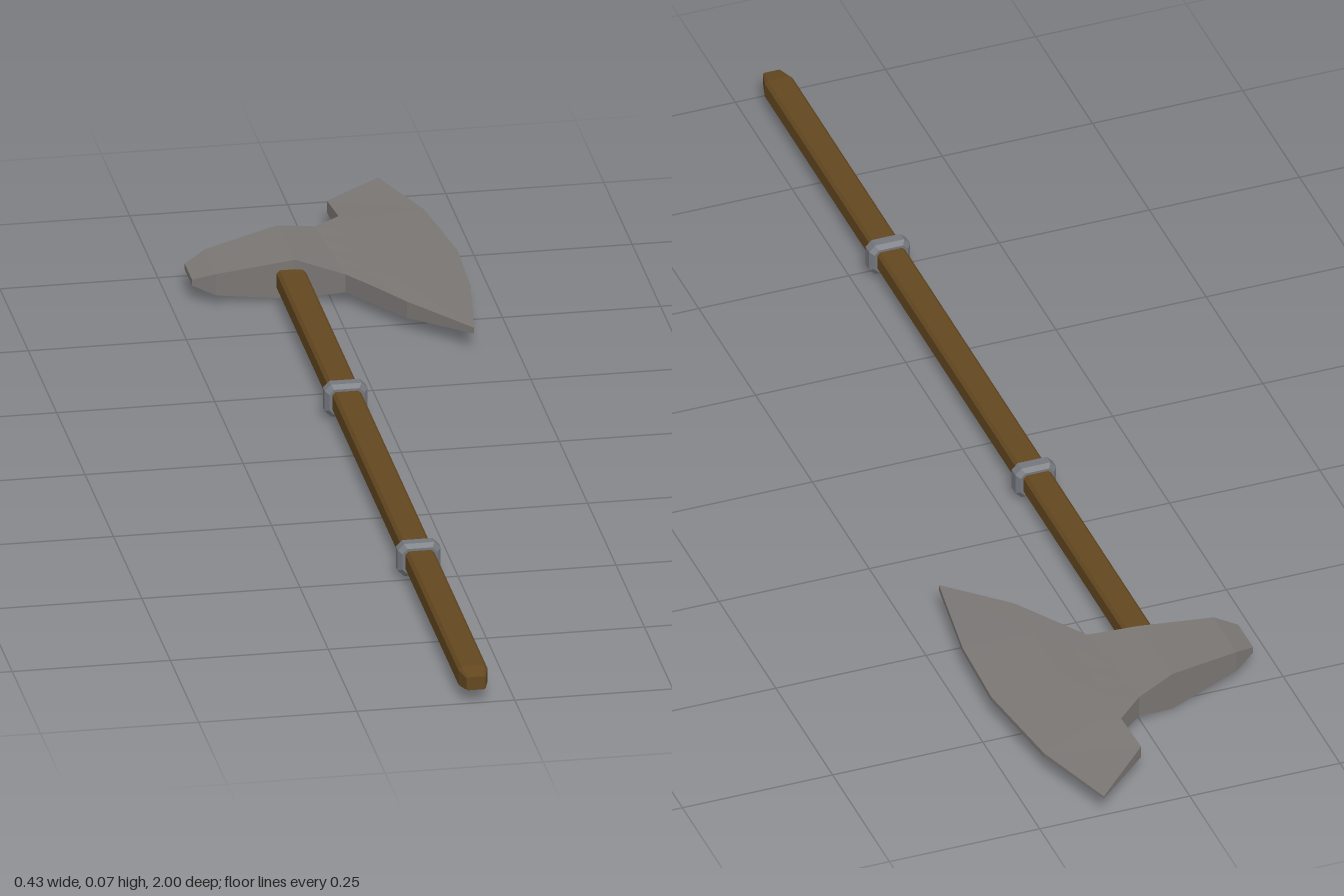
import * as THREE from 'three';

const wood = new THREE.MeshStandardMaterial({ name: 'darkWood', color: 0x644820 });
const steel = new THREE.MeshStandardMaterial({ name: 'steel', color: 0x7a7674 });
const iron = new THREE.MeshStandardMaterial({ name: 'ringIron', color: 0x74777d });

const CENTRE_Y = 0.033;
const SHAFT_X = -0.061;

// Flat-shaded mesh from a list of polygons, each an array of [x, y, z]
function facetMesh(name, polygons, material) {
  const positions = [];
  for (const p of polygons) {
    for (let i = 1; i < p.length - 1; i++) positions.push(...p[0], ...p[i], ...p[i + 1]);
  }
  const geometry = new THREE.BufferGeometry();
  geometry.setAttribute('position', new THREE.Float32BufferAttribute(positions, 3));
  geometry.computeVertexNormals();
  const mesh = new THREE.Mesh(geometry, material);
  mesh.name = name;
  return mesh;
}

// Rectangle with cut corners, counter-clockwise seen from +z
function octagon([z, w, h, cut]) {
  return [
    [w, -h + cut], [w, h - cut], [w - cut, h], [-w + cut, h],
    [-w, h - cut], [-w, -h + cut], [-w + cut, -h], [w - cut, -h],
  ].map(([x, y]) => [SHAFT_X + x, CENTRE_Y + y, z]);
}

// Capped solid through octagons listed from +z to -z
function loft(name, sections, material) {
  const loops = sections.map(octagon);
  const faces = [loops[0], [...loops[loops.length - 1]].reverse()];
  for (let i = 0; i < loops.length - 1; i++) {
    for (let j = 0; j < 8; j++) {
      const k = (j + 1) % 8;
      faces.push([loops[i][j], loops[i + 1][j], loops[i + 1][k], loops[i][k]]);
    }
  }
  return facetMesh(name, faces, material);
}

// Axe head: rows run from poll to cutting edge, each from back (-z) to front (+z)
function axeHead() {
  // Each point is [x, z, half thickness]
  const spread = (a, b) => [0, 0.25, 0.5, 0.75, 1].map((t) => a.map((v, i) => v + (b[i] - v) * t));
  const rows = [
    spread([-0.215, -0.71, 0.005], [-0.215, -0.645, 0.005]),
    spread([-0.18, -0.73, 0.018], [-0.18, -0.63, 0.018]),
    spread([-0.058, -0.77, 0.033], [-0.055, -0.63, 0.033]),
    spread([0.005, -0.79, 0.018], [0.02, -0.60, 0.015]),
    spread([0.05, -0.83, 0.015], [0.055, -0.545, 0.015]),
    [[0.045, -0.905, 0.01], [0.08, -0.82, 0.014], [0.095, -0.69, 0.015], [0.098, -0.57, 0.015], [0.095, -0.48, 0.014]],
    [[0.143, -1.0, 0.002], [0.19, -0.86, 0.004], [0.213, -0.69, 0.004], [0.208, -0.55, 0.004], [0.183, -0.38, 0.005]],
  ];
  const point = (i, j, side) => {
    const [x, z, h] = rows[i][j];
    return [x, CENTRE_Y + side * h, z];
  };
  const last = rows.length - 1;
  const faces = [];
  // Upper and lower cheeks
  for (let i = 0; i < last; i++) {
    for (let j = 0; j < 4; j++) {
      const corners = [[i, j], [i, j + 1], [i + 1, j + 1], [i + 1, j]];
      faces.push(corners.map(([r, c]) => point(r, c, 1)));
      faces.push(corners.map(([r, c]) => point(r, c, -1)).reverse());
    }
  }
  // Rim around the outline
  const rim = [];
  for (let j = 0; j < 4; j++) rim.push([0, j]);
  for (let i = 0; i < last; i++) rim.push([i, 4]);
  for (let j = 4; j > 0; j--) rim.push([last, j]);
  for (let i = last; i > 0; i--) rim.push([i, 0]);
  rim.forEach((p, n) => {
    const q = rim[(n + 1) % rim.length];
    faces.push([point(...p, 1), point(...p, -1), point(...q, -1), point(...q, 1)]);
  });
  return facetMesh('axeHead', faces, steel);
}

export function createModel() {
  const group = new THREE.Group();
  group.name = 'battleAxe';

  // Shaft with a tapered butt
  group.add(loft('shaft', [
    [1.0, 0.015, 0.011, 0.002],
    [0.97, 0.023, 0.017, 0.005],
    [-0.68, 0.023, 0.017, 0.005],
  ], wood));

  // Two bevelled bands around the shaft
  [['lowerRing', 0.49], ['upperRing', -0.153]].forEach(([name, z]) => {
    group.add(loft(name, [
      [z + 0.015, 0.028, 0.021, 0.008],
      [z + 0.008, 0.034, 0.027, 0.010],
      [z - 0.008, 0.034, 0.027, 0.010],
      [z - 0.015, 0.028, 0.021, 0.008],
    ], iron));
  });

  group.add(axeHead());
  return group;
}
